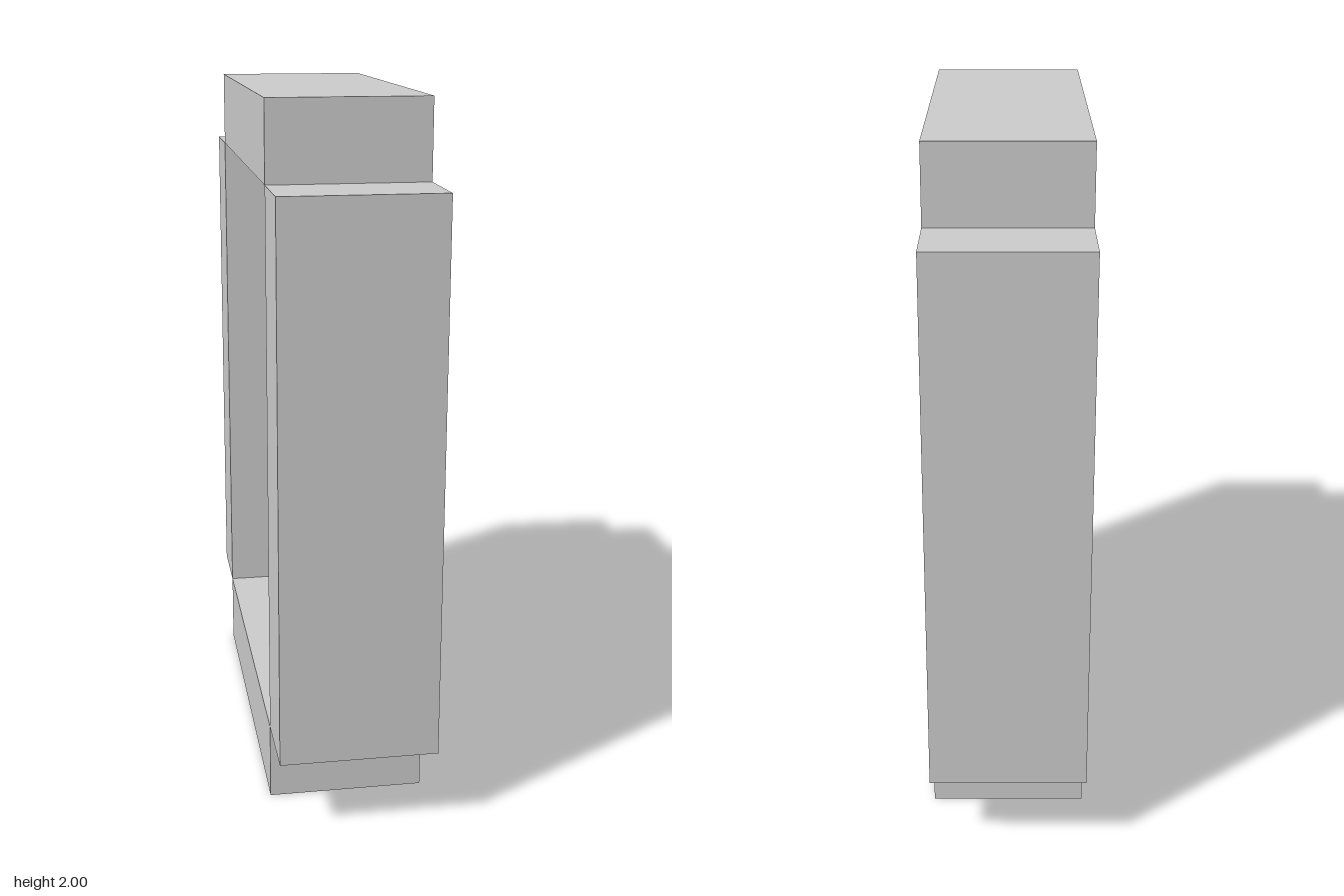
import * as THREE from 'three';

export function createModel() {
  const group = new THREE.Group();
  group.name = 'recessedPanel';
  const material = new THREE.MeshStandardMaterial({ color: 0xcccccc, flatShading: true });

  const u = 2 / 9; // one module: bar width and panel thickness
  const innerY = 7 * u, innerZ = 5 * u, depth = 2 * u;

  function addBox(name, size, position) {
    const mesh = new THREE.Mesh(new THREE.BoxGeometry(...size), material);
    mesh.name = name;
    mesh.position.set(...position);
    group.add(mesh);
  }

  // Panel closing the frame, flush with the frame on +x and recessed on -x
  addBox('panel', [u, innerY, innerZ], [u / 2, 1, 0]);

  // Frame bars, meeting only at their corners so the outline is notched
  for (const s of [1, -1]) {
    addBox(s > 0 ? 'topBar' : 'bottomBar', [depth, u, innerZ], [0, 1 + s * 4 * u, 0]);
    addBox(s > 0 ? 'frontBar' : 'backBar', [depth, innerY, u], [0, 1, s * 3 * u]);
  }

  return group;
}
